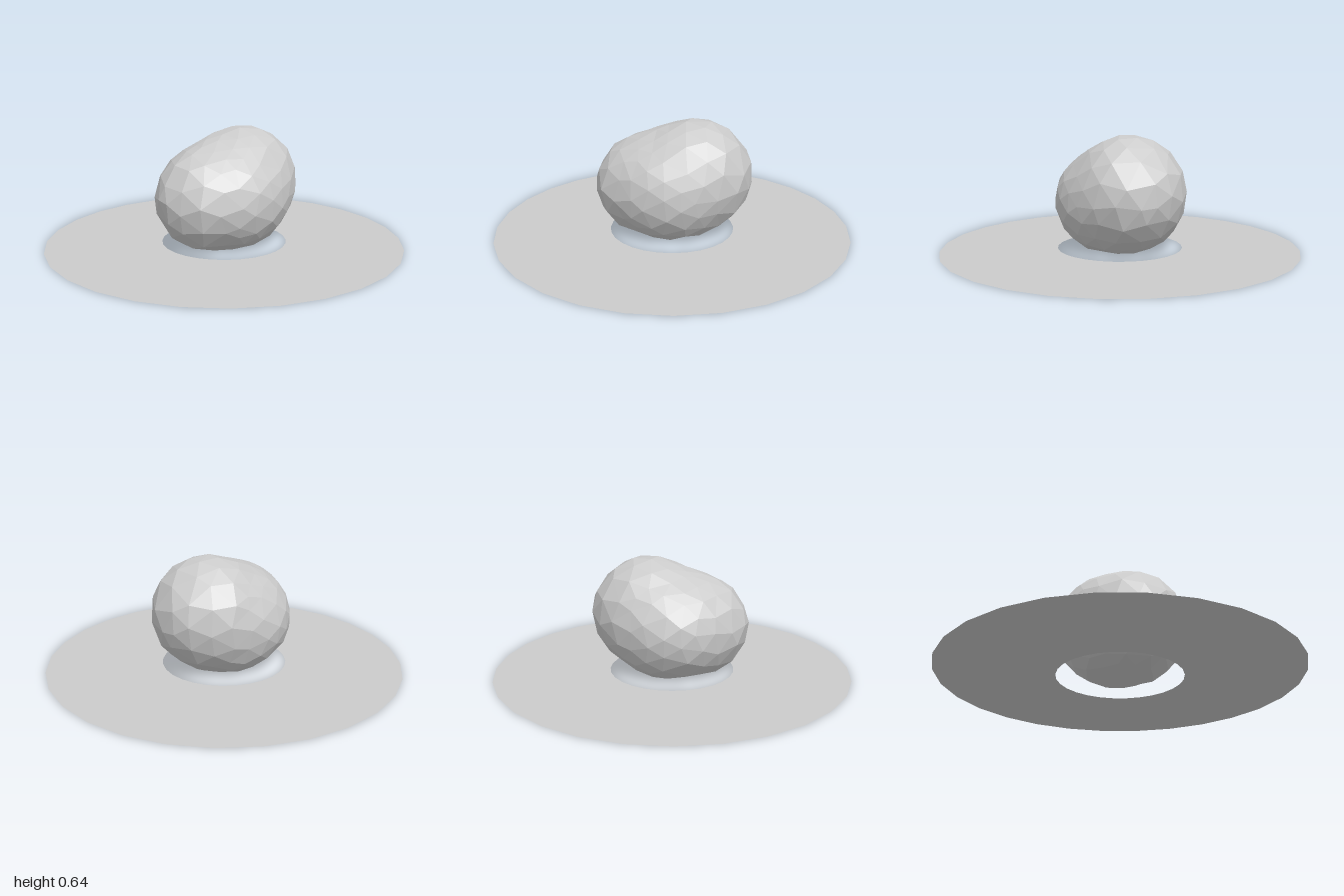
import * as THREE from 'three';

// Overlapping ellipsoids whose smooth envelope gives the lopsided boulder
const lobes = [
  { c: new THREE.Vector3(0.12, 0.33, -0.06), r: new THREE.Vector3(0.31, 0.31, 0.31) }, // raised back lobe
  { c: new THREE.Vector3(-0.12, 0.265, 0.075), r: new THREE.Vector3(0.28, 0.28, 0.285) }, // low front lobe
  { c: new THREE.Vector3(0, 0.27, 0), r: new THREE.Vector3(0.37, 0.31, 0.36) } // broad body
];
const core = new THREE.Vector3(0, 0.29, 0);

// Evenly spread tangent planes wrapped around the lobes
function envelopePlanes(count) {
  const planes = [];
  for (let i = 0; i < count; i++) {
    const y = 1 - (2 * i + 1) / count;
    const s = Math.sqrt(1 - y * y);
    const a = i * Math.PI * (3 - Math.sqrt(5));
    const n = new THREE.Vector3(s * Math.cos(a), y, s * Math.sin(a));
    const h = Math.max(...lobes.map(({ c, r }) =>
      c.clone().sub(core).dot(n) + n.clone().multiply(r).length()));
    planes.push({ n, h });
  }
  return planes;
}

// Small repeatable unevenness that depends only on direction
const bump = (d) => 1.008 + 0.009 * Math.sin(9 * d.x + 5 * d.y) * Math.sin(8 * d.z - 6 * d.y + 1);

function makeRock(material) {
  const geometry = new THREE.IcosahedronGeometry(1, 3);
  const position = geometry.attributes.position;
  const planes = envelopePlanes(2000);
  const d = new THREE.Vector3();
  for (let i = 0; i < position.count; i++) {
    d.fromBufferAttribute(position, i).normalize();
    // Skew the directions slightly so the facets are irregular
    const { x, y, z } = d;
    d.x += 0.04 * Math.sin(11 * y + 7 * z);
    d.y += 0.04 * Math.sin(11 * z + 7 * x);
    d.z += 0.04 * Math.sin(11 * x + 7 * y);
    d.normalize();
    let reach = Infinity;
    for (const { n, h } of planes) {
      const k = n.dot(d);
      if (k > 0.05) reach = Math.min(reach, h / k);
    }
    d.multiplyScalar(reach * bump(d)).add(core);
    position.setXYZ(i, d.x, Math.max(d.y, 0), d.z); // flat underside
  }
  geometry.computeVertexNormals();
  const rock = new THREE.Mesh(geometry, material);
  rock.name = 'rock';
  return rock;
}

export function createModel() {
  const model = new THREE.Group();
  model.name = 'rockOnRing';
  model.add(makeRock(new THREE.MeshStandardMaterial({ color: 0xcccccc, flatShading: true })));

  // Thin flat ring lying on the ground around the rock
  const ring = new THREE.Mesh(
    new THREE.RingGeometry(0.35, 1, 28).rotateX(-Math.PI / 2),
    new THREE.MeshStandardMaterial({ color: 0xcccccc, flatShading: true, side: THREE.DoubleSide })
  );
  ring.name = 'groundRing';
  model.add(ring);
  return model;
}
